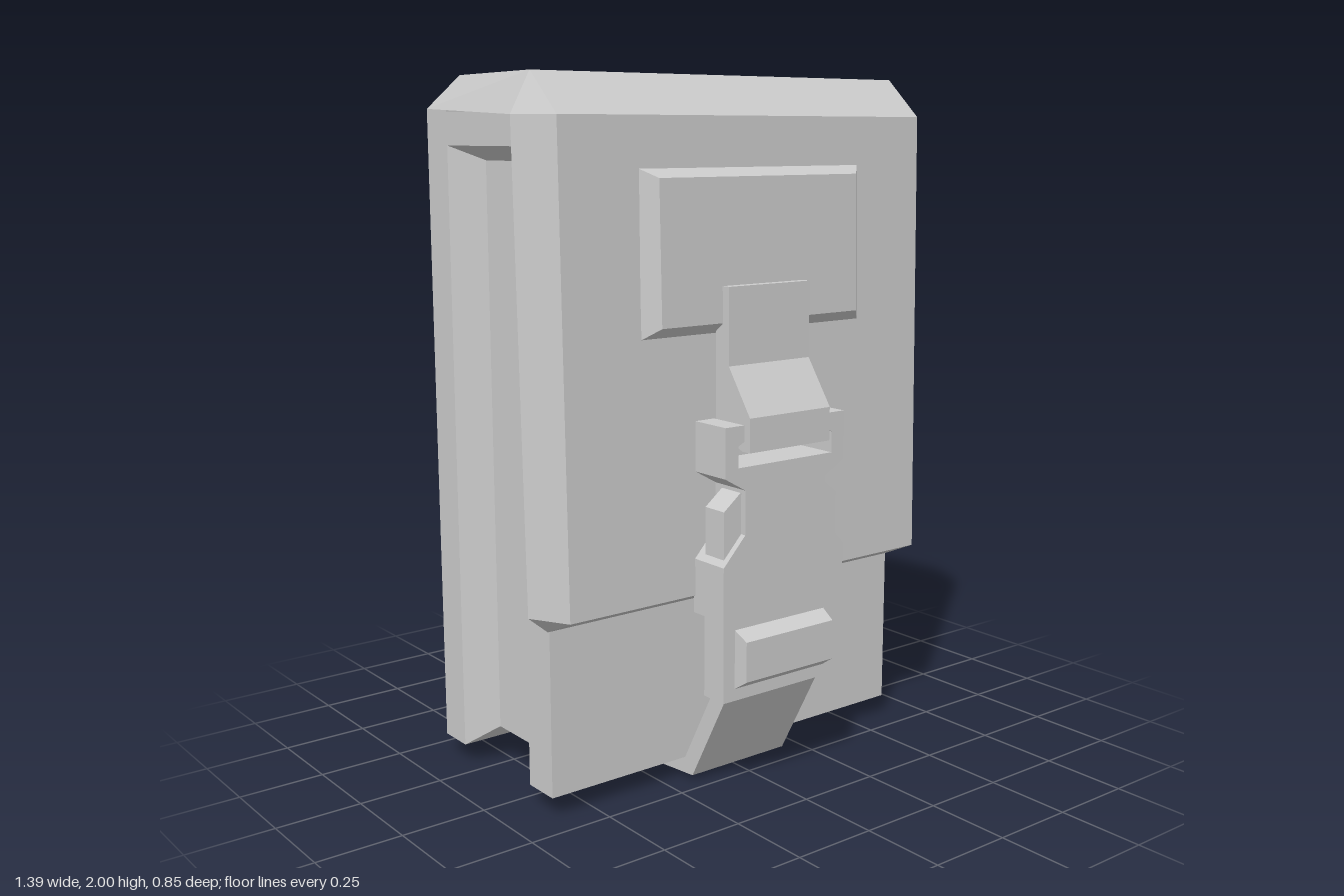
import * as THREE from 'three';
import { ConvexGeometry } from 'three/addons/geometries/ConvexGeometry.js';

const material = new THREE.MeshStandardMaterial({ color: 0xcccccc, flatShading: true });

function add(parent, name, geometry) {
  const mesh = new THREE.Mesh(geometry, material);
  mesh.name = name;
  parent.add(mesh);
  return mesh;
}

// Box given by its limits
function block(x0, x1, y0, y1, z0, z1) {
  return new THREE.BoxGeometry(x1 - x0, y1 - y0, z1 - z0)
    .translate((x0 + x1) / 2, (y0 + y1) / 2, (z0 + z1) / 2);
}

// Faceted solid around points that are mirrored across x = 0
function mirroredHull(points) {
  return new ConvexGeometry(points.flatMap(([x, y, z]) =>
    [new THREE.Vector3(x, y, z), new THREE.Vector3(-x, y, z)]));
}

// Faceted solid between two centred rectangles [halfWidth, y0, y1, z at y0, z at y1]
function taper(...rects) {
  return mirroredHull(rects.flatMap(([x, y0, y1, z0, z1 = z0]) => [[x, y0, z0], [x, y1, z1]]));
}

function shapeOf(points) {
  return new THREE.Shape(points.map(([a, b]) => new THREE.Vector2(a, b)));
}

// Side profile of [z, y] points, extruded across the width
function sideProfile(points, width) {
  return new THREE.ExtrudeGeometry(shapeOf(points), { depth: width, bevelEnabled: false })
    .translate(0, 0, -width / 2).rotateY(-Math.PI / 2);
}

export function createModel() {
  const model = new THREE.Group();
  model.name = 'pouch';

  // Body: two slabs around a recessed core with sloping groove walls
  const body = new THREE.Group();
  body.name = 'body';
  model.add(body);
  add(body, 'backPanel', block(-0.63, 0.63, 0.06, 1.91, -0.42, -0.31));
  add(body, 'frontPanel', block(-0.63, 0.63, 0.06, 1.89, 0.05, 0.165));
  add(body, 'core', block(-0.55, 0.55, 0.12, 1.85, -0.31, 0.05));
  add(body, 'backGrooveWall', taper([0.63, 0.06, 1.85, -0.31], [0.55, 0.12, 1.85, -0.24]));
  add(body, 'frontGrooveWall', taper([0.63, 0.06, 1.85, 0.05], [0.55, 0.12, 1.85, -0.02]));
  add(body, 'grooveTop', mirroredHull([
    [0.63, 1.9, -0.31], [0.63, 1.9, 0.05], [0.63, 1.81, -0.31], [0.63, 1.81, 0.05],
    [0.55, 1.77, -0.31], [0.55, 1.77, 0.05],
  ]));

  // Lid and the flap hanging over the front
  add(model, 'lid', mirroredHull([
    [0.63, 1.91, -0.42], [0.585, 2, -0.31], [0.635, 2, 0.13],
    [0.695, 1.89, 0.13], [0.635, 1.89, 0.25],
  ]));
  add(model, 'flap', mirroredHull([
    [0.695, 1.89, 0.13], [0.635, 1.89, 0.25], [0.62, 1.89, 0.13],
    [0.695, 0.585, 0.165], [0.635, 0.585, 0.275], [0.635, 0.535, 0.165],
  ]));
  add(model, 'frontPatch', taper([0.39, 1.31, 1.755, 0.262, 0.25], [0.35, 1.34, 1.73, 0.30, 0.29]));

  // Upper strap
  add(model, 'upperStrap', sideProfile([
    [0.27, 1.44], [0.325, 1.44], [0.325, 1.225], [0.415, 1.095], [0.415, 1.0],
    [0.385, 1.0], [0.27, 1.04],
  ], 0.29));

  // Buckle, outlined on one side and mirrored
  const buckle = new THREE.Group();
  buckle.name = 'buckle';
  model.add(buckle);
  const half = [
    [0.17, 0.96], [0.17, 1.02], [0.15, 1.03], [0.15, 1.075], [0.215, 1.075], [0.215, 0.935],
    [0.145, 0.895], [0.145, 0.77], [0.22, 0.69], [0.22, 0.535],
  ];
  const outline = [...half, ...half.map(([x, y]) => [-x, y]).reverse()];
  add(buckle, 'buckleSocket', new THREE.ExtrudeGeometry(shapeOf(outline),
    { depth: 0.13, bevelEnabled: false }).translate(0, 0, 0.268));
  for (const side of [1, -1]) {
    const tab = [];
    for (const z of [0.30, 0.38])
      for (const [x, y] of [[0.13, 0.885], [0.148, 0.885], [0.205, 0.84], [0.205, 0.69], [0.13, 0.69]])
        tab.push(new THREE.Vector3(side * x, y, z));
    add(buckle, side > 0 ? 'leftReleaseTab' : 'rightReleaseTab', new ConvexGeometry(tab));
  }
  add(buckle, 'lowerBuckle', block(-0.205, 0.205, 0.295, 0.54, 0.295, 0.38));
  add(buckle, 'strapAdjuster', taper([0.165, 0.33, 0.50, 0.38], [0.16, 0.36, 0.475, 0.425]));

  // Lower strap running under the body
  add(model, 'lowerStrap', sideProfile([
    [0.355, 0.30], [0.20, 0.015], [0.03, 0], [-0.30, 0.075],
    [-0.24, 0.12], [0.05, 0.06], [0.165, 0.06], [0.295, 0.30],
  ], 0.345));

  return model;
}
